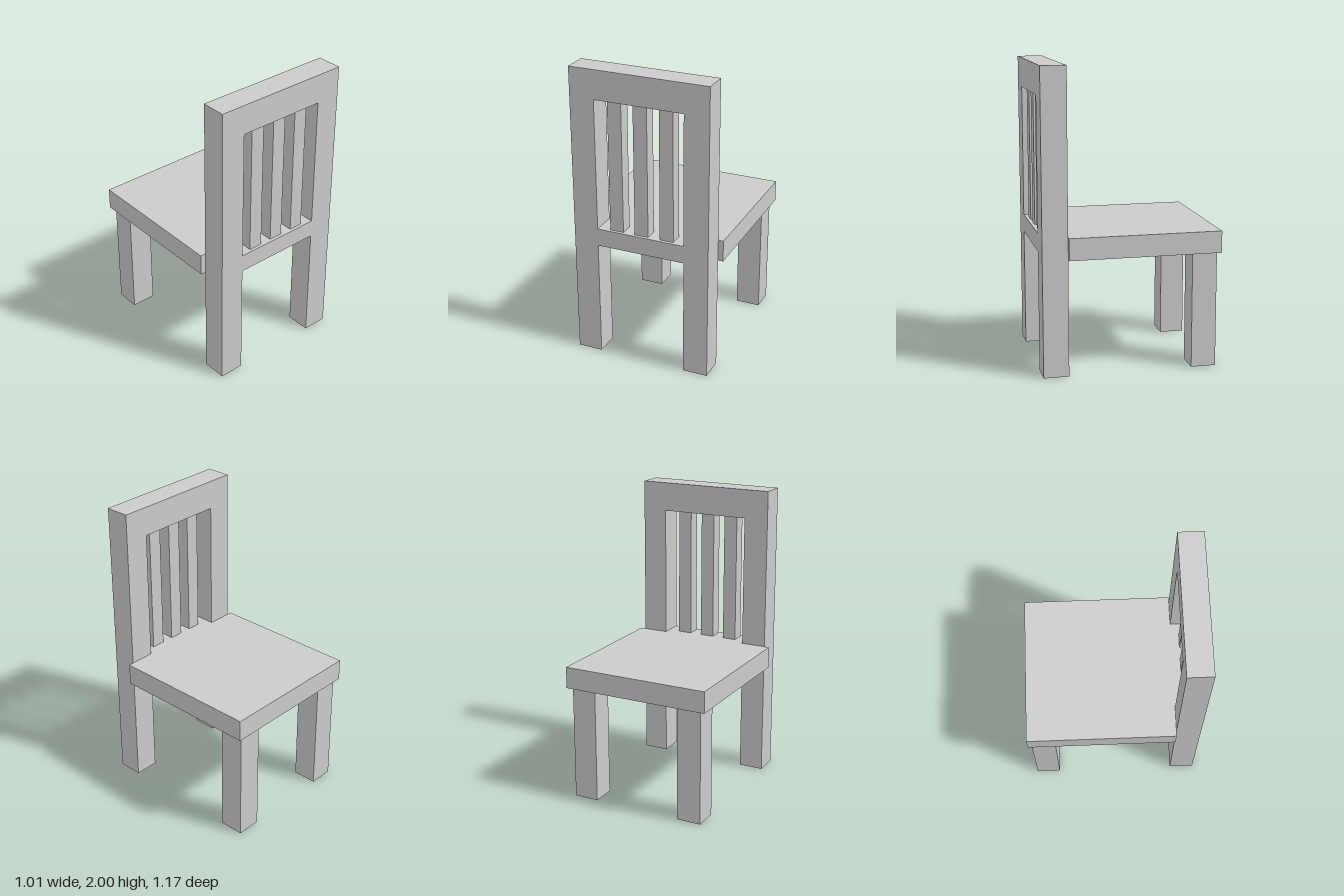
import * as THREE from 'three';

const material = new THREE.MeshStandardMaterial({ color: 0xcccccc, flatShading: true });

// Box given by its [min, max] extents along each axis
function box(name, [x0, x1], [y0, y1], [z0, z1]) {
  const mesh = new THREE.Mesh(new THREE.BoxGeometry(x1 - x0, y1 - y0, z1 - z0), material);
  mesh.position.set((x0 + x1) / 2, (y0 + y1) / 2, (z0 + z1) / 2);
  mesh.name = name;
  return mesh;
}

const points = (list) => list.map(([x, y]) => new THREE.Vector2(x, y));

export function createModel() {
  const chair = new THREE.Group();
  chair.name = 'chair';

  const outer = 0.47, inner = 0.302;
  const backFace = 0.42, backDepth = 0.167;
  const seatTop = 0.92, seatBottom = 0.775;

  // Back frame: rear legs, lower rail and top rail in one slab with a window
  const outline = new THREE.Shape(points([
    [-outer, 0], [-inner, 0], [-inner, 0.8], [inner, 0.8],
    [inner, 0], [outer, 0], [outer, 2], [-outer, 2],
  ]));
  outline.holes.push(new THREE.Path(points([
    [-inner, seatTop], [-inner, 1.805], [inner, 1.805], [inner, seatTop],
  ])));
  const frame = new THREE.Mesh(
    new THREE.ExtrudeGeometry(outline, { depth: backDepth, bevelEnabled: false }), material);
  frame.position.z = backFace;
  frame.name = 'backFrame';
  chair.add(frame);

  // Upright slats in the window
  for (const x of [-0.174, 0, 0.176]) {
    chair.add(box('backSlat', [x - 0.047, x + 0.047], [seatTop, 1.805], [0.475, 0.565]));
  }

  // Seat
  chair.add(box('seat', [-0.505, 0.505], [seatBottom, seatTop], [-0.587, backFace]));

  // Legs at the free end of the seat
  chair.add(box('rightLeg', [-outer, -inner], [0, seatBottom], [-0.565, -0.4]));
  chair.add(box('leftLeg', [inner, outer], [0, seatBottom], [-0.565, -0.4]));

  return chair;
}
